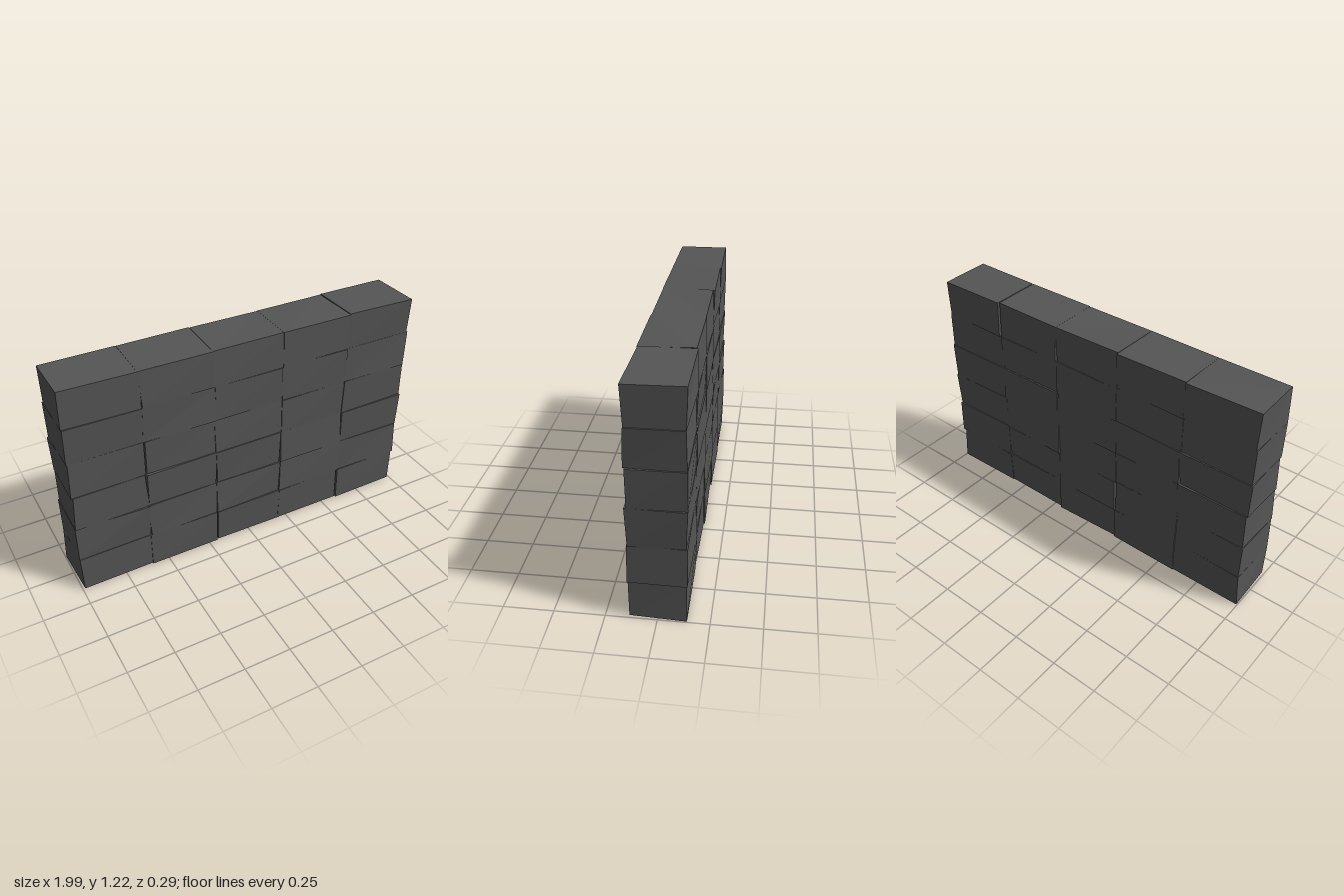
import * as THREE from 'three';

const COLS = 5, ROWS = 6;
const BLOCK = { w: 0.396, h: 0.203, d: 0.277 };

// small repeatable noise in -1..1
function seeded(seed) {
  let s = seed;
  return () => {
    s = (s * 16807) % 2147483647;
    return (s / 2147483647) * 2 - 1;
  };
}

// rough-cut block: a box whose eight corners are each nudged a little
function blockGeometry(rand) {
  const geo = new THREE.BoxGeometry(BLOCK.w, BLOCK.h, BLOCK.d);
  const nudges = Array.from({ length: 8 }, () => [rand() * 0.007, rand() * 0.003, rand() * 0.006]);
  const pos = geo.attributes.position;
  for (let i = 0; i < pos.count; i++) {
    const x = pos.getX(i), y = pos.getY(i), z = pos.getZ(i);
    const n = nudges[(x > 0 ? 1 : 0) + (y > 0 ? 2 : 0) + (z > 0 ? 4 : 0)];
    pos.setXYZ(i, x + n[0], y + n[1], z + n[2]);
  }
  geo.computeVertexNormals();
  return geo;
}

export function createModel() {
  const wall = new THREE.Group();
  wall.name = 'blockWall';
  const stone = new THREE.MeshStandardMaterial({ color: 0x555555, flatShading: true });
  const rand = seeded(4711);

  // courses of blocks, stacked in straight columns
  for (let r = 0; r < ROWS; r++) {
    const course = new THREE.Group();
    course.name = `course${r + 1}`;
    course.position.y = 0.009 + (r + 0.5) * BLOCK.h;
    for (let c = 0; c < COLS; c++) {
      const block = new THREE.Mesh(blockGeometry(rand), stone);
      block.name = `block${c + 1}`;
      block.position.x = (c - (COLS - 1) / 2) * BLOCK.w;
      course.add(block);
    }
    wall.add(course);
  }
  return wall;
}
